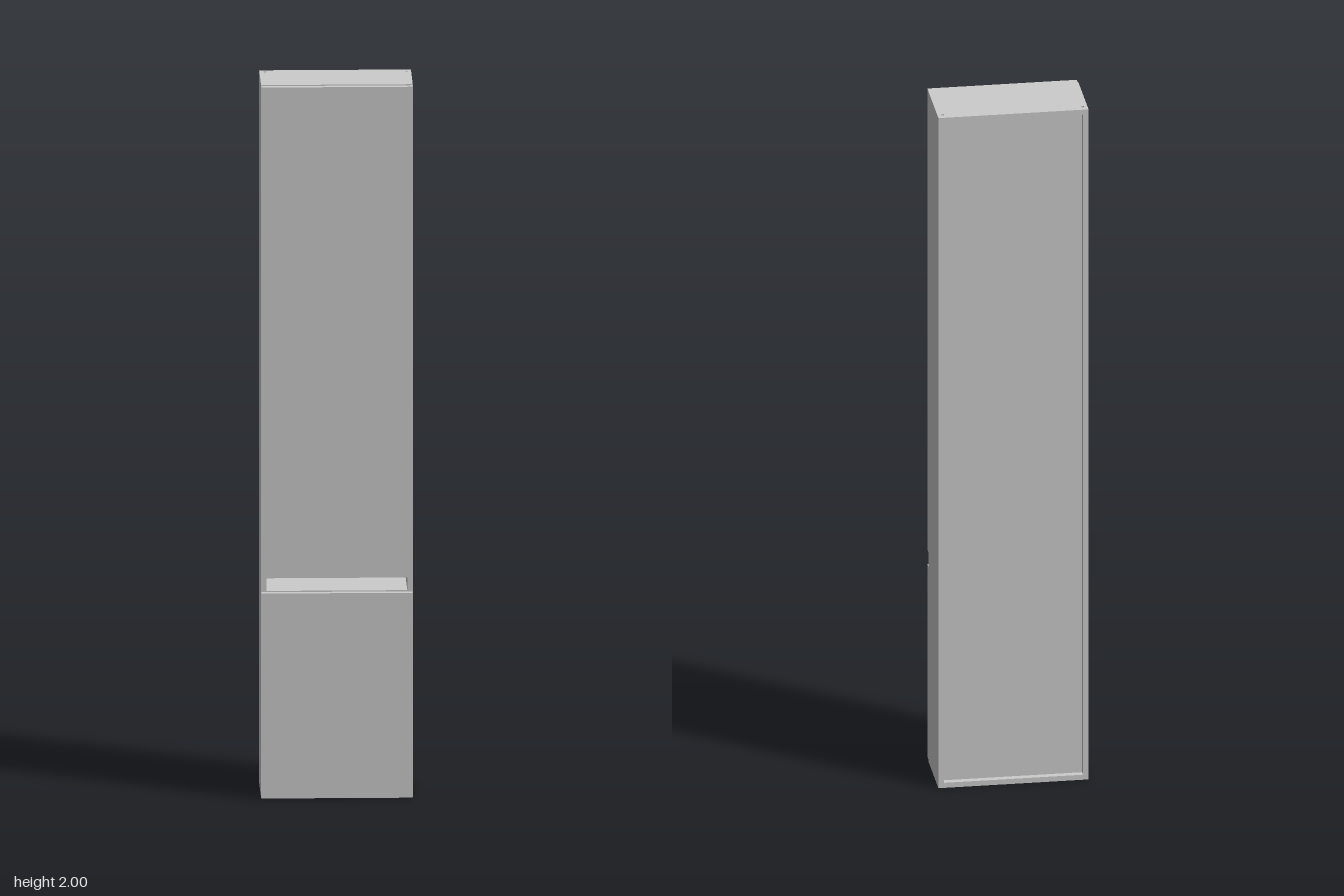
import * as THREE from 'three';

export function createModel() {
  const group = new THREE.Group();
  group.name = 'tallCabinet';
  const material = new THREE.MeshStandardMaterial({ color: 0xcccccc });

  const W = 0.208;              // half width of the carcass
  const T = 0.015;              // board thickness
  const BACK = -0.106, FRONT = 0.083;

  function add(name, geometry) {
    const mesh = new THREE.Mesh(geometry, material);
    mesh.name = name;
    group.add(mesh);
    return mesh;
  }

  // Box given by its extents on each axis
  function board(name, [x0, x1], [y0, y1], [z0, z1]) {
    add(name, new THREE.BoxGeometry(x1 - x0, y1 - y0, z1 - z0))
      .position.set((x0 + x1) / 2, (y0 + y1) / 2, (z0 + z1) / 2);
  }

  // Side walls
  board('leftSide', [W - T, W], [0, 2 - T], [BACK, FRONT]);
  board('rightSide', [-W, T - W], [0, 2 - T], [BACK, FRONT]);

  // Top board with two small hanger holes near the back corners
  const top = new THREE.Shape([
    new THREE.Vector2(-W, -FRONT), new THREE.Vector2(W, -FRONT),
    new THREE.Vector2(W, -BACK), new THREE.Vector2(-W, -BACK),
  ]);
  for (const s of [-1, 1]) {
    const hole = new THREE.Path();
    hole.absellipse(s * 0.194, 0.085, 0.005, 0.005, 0, Math.PI * 2, true, Math.PI / 8);
    top.holes.push(hole);
  }
  const topGeometry = new THREE.ExtrudeGeometry(top, { depth: T, bevelEnabled: false, curveSegments: 4 });
  topGeometry.rotateX(-Math.PI / 2);
  add('topBoard', topGeometry).position.y = 2 - T;

  // Bottom board, fixed shelf behind the grip gap, recessed back panel
  const inside = [T - W, W - T];
  board('bottomBoard', inside, [0, T], [BACK, FRONT]);
  board('fixedShelf', inside, [0.565, 0.58], [-0.082, FRONT - 0.002]);
  board('backPanel', inside, [T, 2 - T], [-0.088, -0.082]);

  // Doors, standing slightly off the carcass with a grip gap between them
  const doorX = [-0.207, 0.207], doorZ = [0.087, 0.106];
  board('lowerDoor', doorX, [0.003, 0.578], doorZ);
  board('upperDoor', doorX, [0.621, 1.998], doorZ);

  return group;
}
